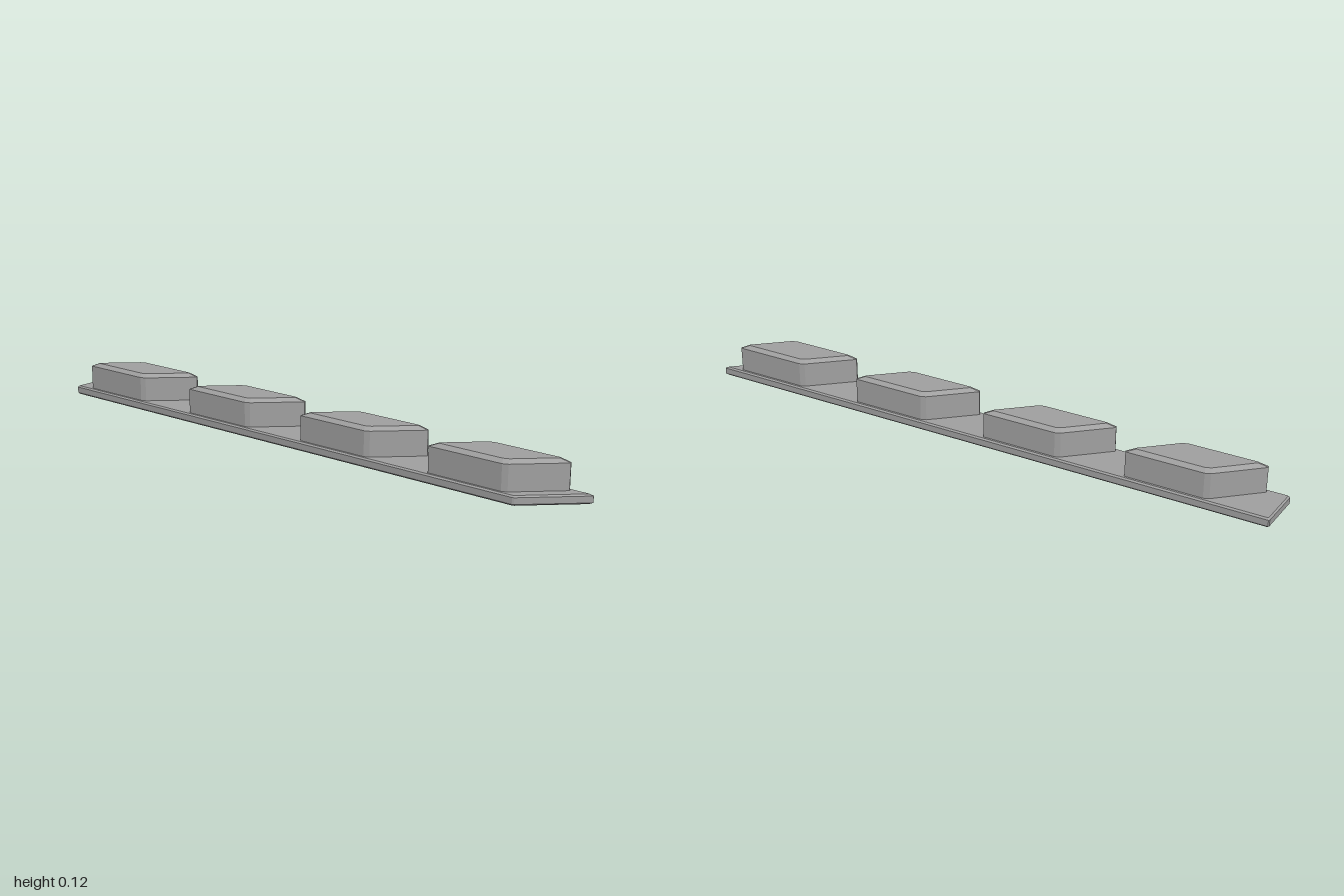
import * as THREE from 'three';

// Moves every edge of a convex [x, z] polygon inward by d, then trims each corner by c.
function outline(corners, d, c) {
  const n = corners.length;
  const p = corners.map(([x, z]) => new THREE.Vector2(x, z));
  const dir = p.map((a, i) => p[(i + 1) % n].clone().sub(a).normalize());
  const inset = p.map((a, i) => {
    const u = dir[(i + n - 1) % n], v = dir[i];
    const k = d / u.cross(v); // mitre offset; negative for this winding
    return a.clone().addScaledVector(u, k).addScaledVector(v, -k);
  });
  // u and v point along the edges, so the mitre has to lead inward
  const centre = p.reduce((s, a) => s.add(a), new THREE.Vector2()).divideScalar(n);
  const ring = [];
  inset.forEach((q, i) => {
    if (d > 0 && q.distanceTo(centre) > p[i].distanceTo(centre)) q.copy(p[i].clone().multiplyScalar(2).sub(q));
    ring.push(q.clone().addScaledVector(dir[(i + n - 1) % n], -c), q.clone().addScaledVector(dir[i], c));
  });
  return ring;
}

// Joins outlines at [height, inset] levels into a closed, flat-faced solid.
function bevelledPrism(corners, levels, cut) {
  const rings = levels.map(([y, d]) => outline(corners, d, cut).map(q => [q.x, y, q.y]));
  const pos = [];
  const tri = (...pts) => pts.forEach(q => pos.push(...q));
  const n = rings[0].length;
  for (let r = 0; r < rings.length - 1; r++) {
    for (let i = 0; i < n; i++) {
      const j = (i + 1) % n, lo = rings[r], hi = rings[r + 1];
      tri(lo[i], lo[j], hi[j]);
      tri(lo[i], hi[j], hi[i]);
    }
  }
  const bottom = rings[0], top = rings[rings.length - 1];
  for (let i = 1; i < n - 1; i++) {
    tri(top[0], top[i], top[i + 1]);
    tri(bottom[0], bottom[i + 1], bottom[i]);
  }
  const g = new THREE.BufferGeometry();
  g.setAttribute('position', new THREE.Float32BufferAttribute(pos, 3));
  g.computeVertexNormals();
  return g;
}

export function createModel() {
  const group = new THREE.Group();
  const grey = new THREE.MeshStandardMaterial({ color: 0xa0a0a0 });
  grey.name = 'grey';

  // Long base strip, square at the back and mitred at the front
  const w = 0.081;
  const base = new THREE.Mesh(bevelledPrism(
    [[-w, -1], [-w, 0.84], [w, 1.002], [w, -1]],
    [[0, 0.005], [0.005, 0], [0.025, 0], [0.03, 0.005]], 0.003), grey);
  base.name = 'baseStrip';
  group.add(base);

  // Four slanted blocks with a chamfered top
  const b = 0.069, half = 0.136;
  const blockGeometry = bevelledPrism(
    [[-b, -b - half], [-b, half - b], [b, b + half], [b, b - half]],
    [[0.028, 0], [0.111, 0], [0.123, 0.012]], 0.01);
  for (let i = 0; i < 4; i++) {
    const block = new THREE.Mesh(blockGeometry, grey);
    block.name = 'slantedBlock' + (i + 1);
    block.position.z = -0.735 + i * 0.49;
    group.add(block);
  }
  return group;
}
